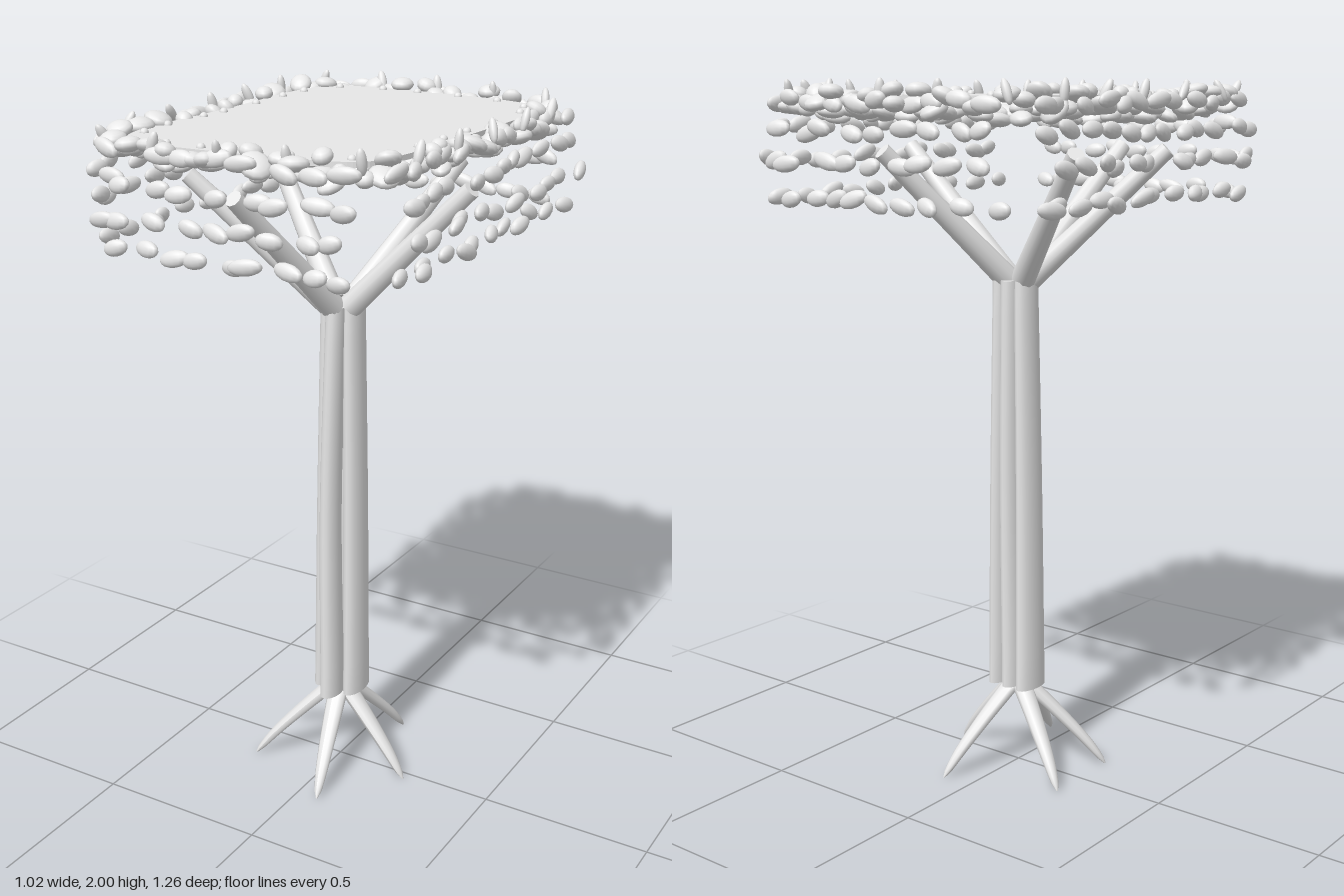
import * as THREE from 'three';

const bark = new THREE.MeshStandardMaterial({ color: 0xe7e7e7 });
bark.name = 'pale grey';

// Seeded random numbers
let seed = 7;
const rand = () => (seed = (seed * 16807) % 2147483647) / 2147483647;
const vary = (a) => (rand() * 2 - 1) * a;

function add(parent, name, geometry) {
  const mesh = new THREE.Mesh(geometry, bark);
  mesh.name = name;
  parent.add(mesh);
  return mesh;
}

function addGroup(parent, name) {
  const group = new THREE.Group();
  group.name = name;
  parent.add(group);
  return group;
}

// Upright stem whose rings follow a curve; sizeAt(t) gives its half widths [x, z]
function bentStem(curve, sizeAt, sides, rings) {
  const geo = new THREE.CylinderGeometry(1, 1, 1, sides, rings);
  const pos = geo.attributes.position;
  for (let i = 0; i < pos.count; i++) {
    const t = THREE.MathUtils.clamp(pos.getY(i) + 0.5, 0, 1);
    const c = curve.getPoint(t);
    const [rx, rz] = sizeAt(t);
    pos.setXYZ(i, c.x + pos.getX(i) * rx, c.y, c.z + pos.getZ(i) * rz);
  }
  geo.computeVertexNormals();
  return geo;
}

const leafGeometry = new THREE.SphereGeometry(1, 12, 8);

function addLeaf(parent, x, y, z, sx, sy, sz, turn = 0, tilt = 0.2) {
  const leaf = add(parent, 'leaf', leafGeometry);
  leaf.position.set(x, y, z);
  leaf.scale.set(sx, sy, sz);
  leaf.rotation.set(vary(tilt), turn, vary(tilt));
}

export function createModel() {
  seed = 7;
  const tree = new THREE.Group();
  tree.name = 'tree';

  // Broad trunk strands leaning across each other: [x, z] at foot, middle and top, then half depth
  const trunk = addGroup(tree, 'trunk');
  for (const [foot, middle, top, depth] of [
    [[0.052, -0.004], [0.04, -0.018], [0.028, -0.025], 0.062],
    [[-0.052, -0.01], [-0.042, -0.005], [-0.033, -0.008], 0.06],
    [[0.004, 0.056], [-0.008, 0.042], [0, 0.025], 0.052],
    [[0, -0.015], [0.004, -0.025], [-0.004, -0.036], 0.054],
  ]) {
    const curve = new THREE.CatmullRomCurve3([foot, middle, top].map(([x, z], k) =>
      new THREE.Vector3(x, 0.25 + 0.6 * k, z)));
    add(trunk, 'trunkStrand',
      bentStem(curve, (t) => [0.028 - 0.003 * t, depth - 0.014 * t], 16, 12));
  }

  // Arching, pointed roots
  const roots = addGroup(tree, 'roots');
  for (const [x, z] of [[0.235, 0.03], [0.065, 0.25], [-0.225, 0.13], [-0.225, -0.11], [0.09, -0.24]]) {
    const curve = new THREE.CatmullRomCurve3([
      new THREE.Vector3(x, 0.002, z),
      new THREE.Vector3(x * 0.77, 0.075, z * 0.77),
      new THREE.Vector3(x * 0.43, 0.165, z * 0.43),
      new THREE.Vector3(x * 0.06, 0.255, z * 0.06)]);
    const size = (t) => 0.003 + 0.028 * Math.sqrt(t);
    add(roots, 'root', bentStem(curve, (t) => [size(t), size(t)], 10, 12));
  }

  // Straight spreading branches
  const branches = addGroup(tree, 'branches');
  const up = new THREE.Vector3(0, 1, 0);
  for (const [x, z] of [[0.38, -0.02], [-0.09, 0.38], [0.18, -0.36], [-0.36, 0.2], [-0.34, -0.2]]) {
    const from = new THREE.Vector3(x * 0.08, 1.45, z * 0.08);
    const dir = new THREE.Vector3(x, 1.81, z).sub(from);
    const branch = add(branches, 'branch', new THREE.CylinderGeometry(0.024, 0.035, dir.length(), 10));
    branch.position.copy(from).addScaledVector(dir, 0.5);
    branch.quaternion.setFromUnitVectors(up, dir.normalize());
  }

  // Flat crown top with rounded corners
  const outline = new THREE.CatmullRomCurve3([
    [-0.25, -0.51], [0.22, -0.51], [0.34, -0.47], [0.385, -0.38], [0.385, 0], [0.355, 0.36], [0.32, 0.44],
    [0.24, 0.475], [-0.22, 0.52], [-0.32, 0.5], [-0.37, 0.41], [-0.36, 0], [-0.355, -0.38], [-0.32, -0.47],
  ].map(([x, z]) => new THREE.Vector3(x, 0, z)), true);
  const crown = addGroup(tree, 'crown');
  const shape = new THREE.Shape(outline.getPoints(80).map((p) => new THREE.Vector2(p.x, -p.z)));
  const plate = add(crown, 'crownTop', new THREE.ExtrudeGeometry(shape, { depth: 0.014, bevelEnabled: false }));
  plate.rotation.x = -Math.PI / 2;
  plate.position.y = 1.942;

  // Round leaves along the crown edge
  const rim = addGroup(crown, 'rimLeaves');
  for (let i = 0; i < 72; i++) {
    const p = outline.getPointAt(((i + vary(0.4) + 72) / 72) % 1);
    const out = 1.01 + rand() * 0.09;
    const r = 0.024 + rand() * 0.02;
    addLeaf(rim, p.x * out, 1.945 + vary(0.028), p.z * out, r, 0.02, r * 0.9, rand() * 6, 0.5);
  }

  // Small upright leaf tips around the edge
  for (let i = 0; i < 20; i++) {
    const p = outline.getPointAt((i + 0.5) / 20);
    addLeaf(rim, p.x * 1.12, 1.966, p.z * 1.08, 0.014, 0.034, 0.012, rand() * 6, 0.5);
  }

  // Tiny buds just inside the edge
  const budGeometry = new THREE.IcosahedronGeometry(0.012, 1);
  for (let i = 0; i < 24; i++) {
    const p = outline.getPointAt((i + 0.3 + rand() * 0.5) / 24);
    add(crown, 'bud', budGeometry).position.set(p.x * 0.93, 1.956, p.z * 0.95);
  }

  // Leaves under the crown
  const under = addGroup(crown, 'underLeaves');
  for (let i = 0; i < 9; i++) {
    for (let j = 0; j < 13; j++) {
      addLeaf(under, (i - 4) * 0.088 + vary(0.035), 1.912 + vary(0.018), (j - 6) * 0.078 + vary(0.035),
        0.04, 0.018, 0.027, rand() * 6, 0.35);
    }
  }

  // Hanging rows of leaves on all four sides: [y, x distance, z distance]
  const rows = addGroup(tree, 'leafRows');
  for (const [y, dx, dz] of [[1.69, 0.43, 0.55], [1.785, 0.48, 0.6], [1.868, 0.45, 0.585], [1.94, 0.425, 0.56]]) {
    for (const side of [-1, 1]) {
      for (let i = 0; i < 9; i++) {
        addLeaf(rows, (i - 4) * 0.086 + vary(0.025), y + vary(0.01), side * dz + vary(0.018),
          0.034 + rand() * 0.014, 0.022, 0.016, vary(0.25), 0.35);
      }
      for (let i = 0; i < 12; i++) {
        addLeaf(rows, side * dx + vary(0.018), y + vary(0.01), (i - 5.5) * 0.084 + vary(0.025),
          0.016, 0.022, 0.034 + rand() * 0.014, vary(0.25), 0.35);
      }
    }
  }

  return tree;
}
